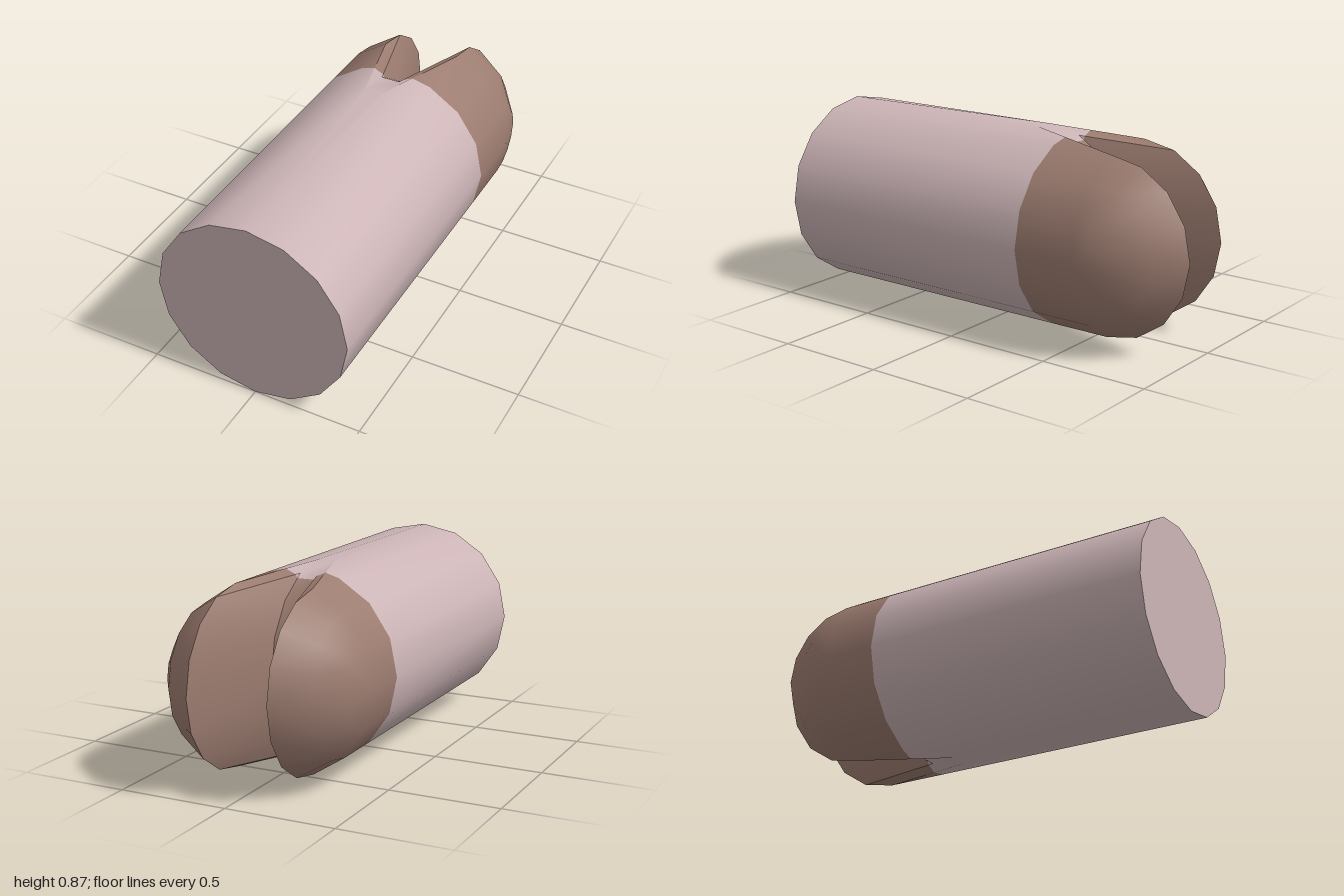
import * as THREE from 'three';
import { toCreasedNormals } from 'three/addons/utils/BufferGeometryUtils.js';

const RX = 0.447, RY = 0.437, FRONT = 1, SPLIT = -0.31;

// Columns from +x to -x: front x, nose x, half height, centre and depth of the rounded end.
function makeColumns() {
  const columns = [];
  for (let i = 0; i <= 8; i++) {
    const a = (i / 8) * Math.PI;
    const x = RX * Math.cos(a), r = i % 8 ? Math.sin(a) : 0;
    if (i === 4) { // the middle line splits in two to form the floor of the cleft
      columns.push({ x: 0, nose: 0.03, h: RY, z: -0.12, d: 0.43 });
      columns.push({ x: 0, nose: -0.055, h: RY, z: -0.12, d: 0.43 });
    } else {
      columns.push({ x, nose: x, h: RY * r, z: i < 4 ? -0.6 : -0.55, d: 0.433 * r });
    }
  }
  return columns;
}

// Each column runs from the top front, round the nose, to the bottom front.
function columnPoints(c) {
  const points = [new THREE.Vector3(c.x, RY + c.h, FRONT)];
  for (let j = 0; j <= 8; j++) {
    const t = (j / 8) * Math.PI;
    points.push(new THREE.Vector3(c.nose, RY + c.h * Math.cos(t), c.z - c.d * Math.sin(t)));
  }
  points.push(new THREE.Vector3(c.x, RY - c.h, FRONT));
  return points;
}

function makeSkin(columns) {
  const rows = columns.map(columnPoints), out = [];
  const tri = (a, b, c) => {
    const area = b.clone().sub(a).cross(c.clone().sub(a)).length();
    if (area > 1e-6) for (const p of [a, b, c]) out.push(p.x, p.y, p.z);
  };
  for (let i = 0; i < rows.length - 1; i++) {
    for (let j = 0; j < rows[i].length - 1; j++) {
      const a = rows[i][j], b = rows[i][j + 1], c = rows[i + 1][j + 1], d = rows[i + 1][j];
      // mirror the diagonal about the middle, both across and top to bottom
      if ((i < 4) === (j < 5)) { tri(a, b, c); tri(a, c, d); }
      else { tri(a, b, d); tri(b, c, d); }
    }
  }
  const geo = new THREE.BufferGeometry();
  geo.setAttribute('position', new THREE.Float32BufferAttribute(out, 3));
  return toCreasedNormals(geo, 0.6);
}

// Keeps the part of a geometry on one side of the colour boundary.
function clipZ(geo, side) {
  const pos = geo.attributes.position, nor = geo.attributes.normal, P = [], N = [];
  const dist = (v) => side * (v.p.z - SPLIT);
  for (let i = 0; i < pos.count; i += 3) {
    const corners = [0, 1, 2].map((k) => ({
      p: new THREE.Vector3().fromBufferAttribute(pos, i + k),
      n: new THREE.Vector3().fromBufferAttribute(nor, i + k),
    }));
    const poly = [];
    corners.forEach((a, k) => {
      const b = corners[(k + 1) % 3], da = dist(a), db = dist(b);
      if (da >= 0) poly.push(a);
      if (da * db < 0) {
        const t = da / (da - db);
        poly.push({ p: a.p.clone().lerp(b.p, t), n: a.n.clone().lerp(b.n, t).normalize() });
      }
    });
    for (let k = 1; k < poly.length - 1; k++) {
      for (const v of [poly[0], poly[k], poly[k + 1]]) {
        P.push(v.p.x, v.p.y, v.p.z);
        N.push(v.n.x, v.n.y, v.n.z);
      }
    }
  }
  const out = new THREE.BufferGeometry();
  out.setAttribute('position', new THREE.Float32BufferAttribute(P, 3));
  out.setAttribute('normal', new THREE.Float32BufferAttribute(N, 3));
  return out;
}

export function createModel() {
  const group = new THREE.Group();
  group.name = 'cleftRod';
  const pink = new THREE.MeshStandardMaterial({ color: 0xccb4b6 });
  pink.name = 'dusty pink';
  const brown = new THREE.MeshStandardMaterial({ color: 0x9c7c70 });
  brown.name = 'warm brown';
  const add = (name, geo, mat) => {
    const mesh = new THREE.Mesh(geo, mat);
    mesh.name = name;
    group.add(mesh);
    return mesh;
  };

  // Shaft and cleft tip share one skin, cut at the colour boundary
  const columns = makeColumns();
  const skin = makeSkin(columns);
  add('shaft', clipZ(skin, 1), pink);
  add('cleftTip', clipZ(skin, -1), brown);

  // Flat front end
  const ring = [];
  for (let i = 0; i < 16; i++) {
    const a = (i / 16) * Math.PI * 2;
    ring.push(new THREE.Vector2(RX * Math.cos(a), RY + RY * Math.sin(a)));
  }
  add('frontCap', new THREE.ShapeGeometry(new THREE.Shape(ring)), pink).position.z = FRONT;
  return group;
}
